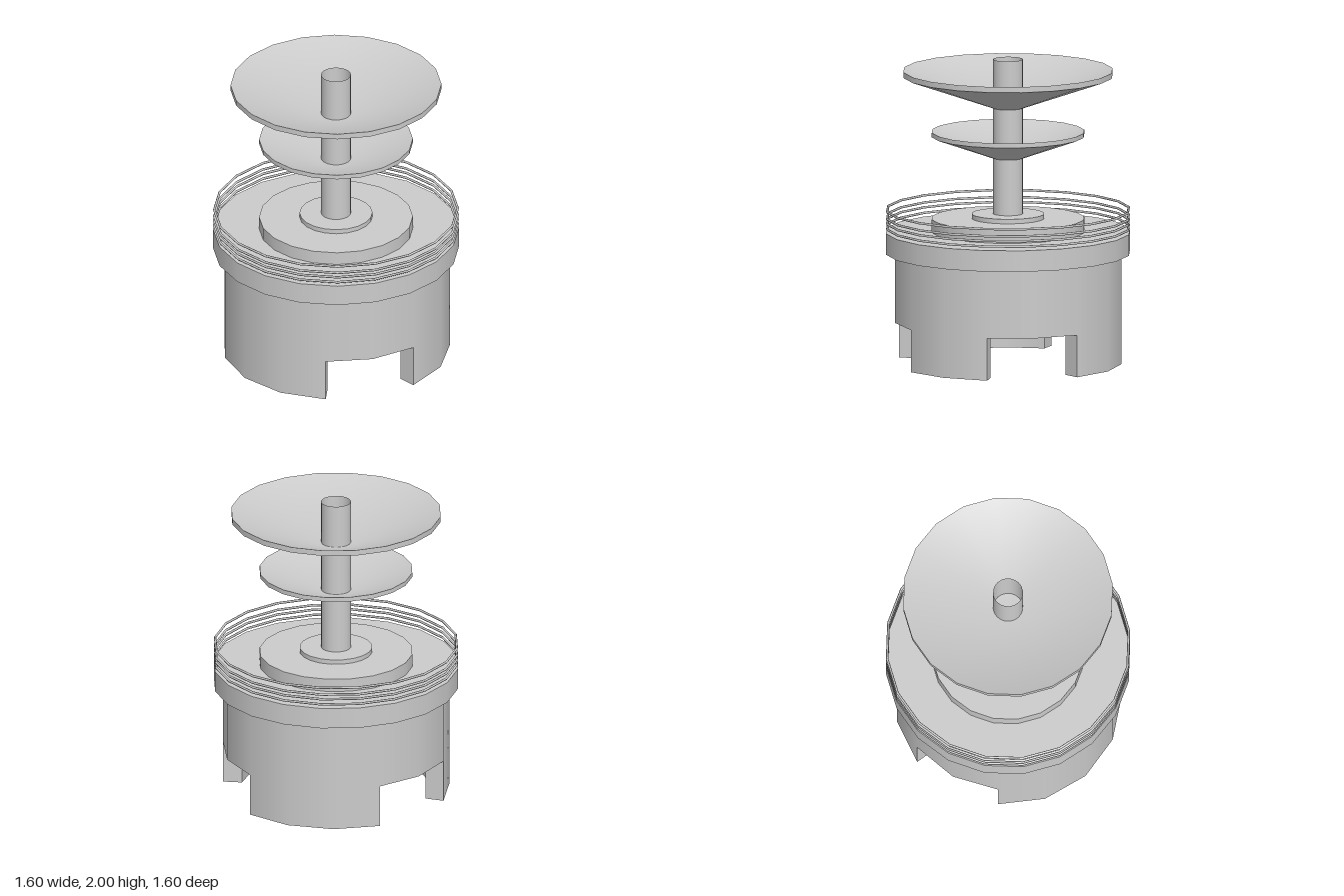
import * as THREE from 'three';
import { mergeGeometries } from 'three/addons/utils/BufferGeometryUtils.js';

const material = new THREE.MeshStandardMaterial({ color: 0xcccccc, side: THREE.DoubleSide });
const rad = THREE.MathUtils.degToRad;

function addMesh(parent, name, geometry) {
  const mesh = new THREE.Mesh(geometry, material);
  mesh.name = name;
  parent.add(mesh);
  return mesh;
}

// One smooth band between two profile points; at the axis the normal is vertical
function band(from, to, segments, start, sweep) {
  const geometry = new THREE.LatheGeometry([from, to], segments, rad(start), rad(sweep));
  const { position, normal } = geometry.attributes;
  for (let i = 0; i < position.count; i++) {
    if (Math.hypot(position.getX(i), position.getZ(i)) < 1e-6) {
      normal.setXYZ(i, 0, Math.sign(normal.getY(i)), 0);
    }
  }
  geometry.normalizeNormals();
  return geometry;
}

// Turned part from [radius, height] pairs, smooth around and sharp between
// bands; angles in degrees from +z towards +x
function turned(profile, segments = 20, start = 0, sweep = 360) {
  const points = profile.map(([r, y]) => new THREE.Vector2(r, y));
  return mergeGeometries(points.slice(1).map((point, i) =>
    band(points[i], point, segments, start, sweep)));
}

// Solid disc between two heights
const disc = (r, y0, y1) => turned([[0, y0], [r, y0], [r, y1], [0, y1]]);

// Shallow conical dish with a thin upright rim
const dish = (r, bottom, rimLow, rimTop) =>
  turned([[0, bottom], [0.1, bottom], [r, rimLow], [r, rimTop], [0, bottom + 0.002]]);

export function createModel() {
  const model = new THREE.Group();
  model.name = 'tieredFixture';

  // Hollow base: fifteen-sided wall, stepped inside
  const outer = 0.74, inner = 0.617, notchTop = 0.277;
  addMesh(model, 'baseWall', turned([
    [inner, notchTop], [outer, notchTop], [outer, 0.74], [0, 0.74],
    [0, 0.6], [0.585, 0.6], [0.585, 0.36], [inner, 0.36], [inner, notchTop],
  ], 15, 18));

  // Hollow feet, open below, left standing between the three notches
  for (const [start, sweep] of [[42, 48], [138, 72], [258, 96]]) {
    const foot = new THREE.Group();
    foot.name = 'foot';
    model.add(foot);
    addMesh(foot, 'footOuterWall', turned([[outer, 0], [outer, notchTop]], sweep / 24, start, sweep));
    addMesh(foot, 'footInnerWall', turned([[inner, notchTop], [inner, 0]], sweep / 24, start, sweep));
    for (const angle of [start, start + sweep]) {
      const end = addMesh(foot, 'footEnd', new THREE.PlaneGeometry(outer - inner, notchTop));
      const r = (outer + inner) / 2;
      end.position.set(r * Math.sin(rad(angle)), notchTop / 2, r * Math.cos(rad(angle)));
      end.rotation.y = rad(angle - 90);
    }
  }

  // Collar and the stepped plates on it
  addMesh(model, 'collar', disc(0.8, 0.728, 0.867));
  addMesh(model, 'plate', disc(0.5, 0.86, 0.953));
  addMesh(model, 'flange', disc(0.237, 0.95, 0.983));

  // Thin hoops floating above the collar
  for (const y of [0.893, 0.929, 0.961, 1.008]) {
    const hoop = new THREE.TorusGeometry(0.792, 0.008, 6, 20).rotateX(Math.PI / 2);
    addMesh(model, 'hoop', hoop).position.y = y;
  }

  // Open tube carrying the two dishes
  const pole = addMesh(model, 'pole', new THREE.CylinderGeometry(0.097, 0.097, 1.03, 20, 1, true));
  pole.position.y = 1.485;
  addMesh(model, 'lowerDish', dish(0.5, 1.35, 1.495, 1.525));
  addMesh(model, 'upperDish', dish(0.686, 1.68, 1.89, 1.927));

  return model;
}
